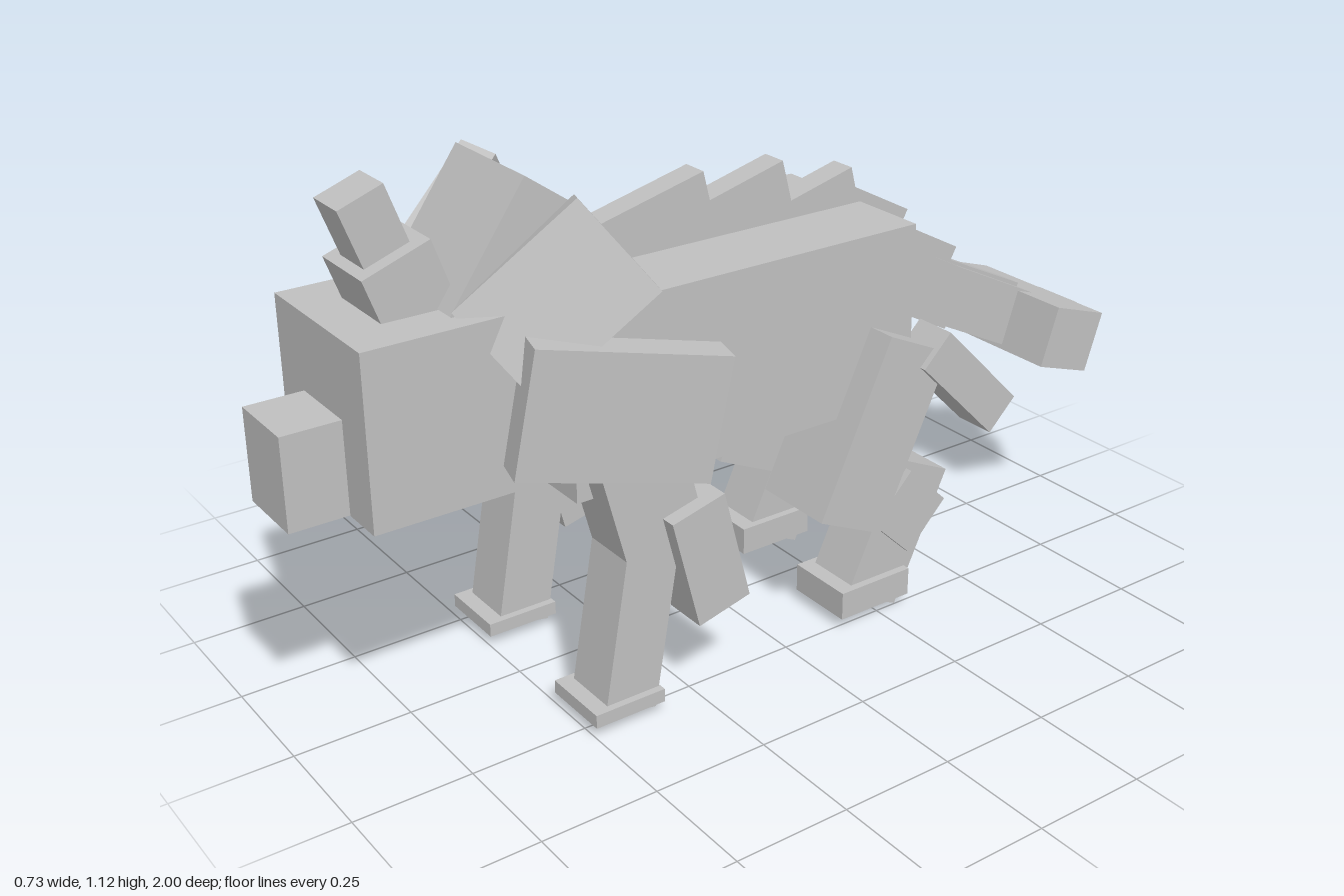
import * as THREE from 'three';

const CX = 0.012; // x of the body's middle plane
const CY = -0.004; // height at which the parts are set
const grey = new THREE.MeshStandardMaterial({ color: 0xbfbfbf });
grey.name = 'plain grey';

// Box running along a centre line from p0 to p1, both given as [z, y].
// shift moves it across the line, so a line can also be the box's top edge.
function bar(name, width, thick, p0, p1, x = 0, shift = 0) {
  const dz = p1[0] - p0[0], dy = p1[1] - p0[1];
  const mesh = new THREE.Mesh(new THREE.BoxGeometry(width, thick, Math.hypot(dz, dy)), grey);
  const t = Math.atan2(-dy, dz);
  mesh.name = name;
  mesh.rotation.x = t;
  mesh.position.set(
    CX + x,
    CY + (p0[1] + p1[1]) / 2 + Math.cos(t) * shift,
    (p0[0] + p1[0]) / 2 + Math.sin(t) * shift
  );
  return mesh;
}

// Box grown from a corner along the edge u, roughly along the edge v, and d deep.
// side = -1 mirrors it in x; offset nudges the result.
function slab(name, corner, u, v, d, side, offset) {
  const make = (a) => new THREE.Vector3(...a);
  const U = make(u), V = make(v);
  const lu = U.length(), lv = V.length();
  U.normalize();
  V.addScaledVector(U, -V.dot(U)).normalize();
  const W = new THREE.Vector3().crossVectors(U, V);
  const mid = make(corner).addScaledVector(U, lu / 2).addScaledVector(V, lv / 2).addScaledVector(W, d / 2);
  for (const p of [U, V, mid]) p.x *= side;
  W.crossVectors(U, V);
  const mesh = new THREE.Mesh(new THREE.BoxGeometry(lu, lv, d), grey);
  mesh.name = name;
  mesh.quaternion.setFromRotationMatrix(new THREE.Matrix4().makeBasis(U, V, W));
  mesh.position.copy(mid).add(make(offset));
  return mesh;
}

export function createModel() {
  const model = new THREE.Group();
  model.name = 'beast';

  // Trunk, head and horn
  model.add(
    bar('body', 0.41, 0.385, [-0.345, 0.672], [0.48, 0.672]),
    bar('pelvis', 0.254, 0.163, [-0.437, 0.675], [-0.3, 0.763]),
    bar('head', 0.346, 0.352, [0.45, 0.702], [0.88, 0.702]),
    bar('snout', 0.156, 0.19, [0.86, 0.622], [1.0, 0.622]),
    bar('hornBase', 0.156, 0.146, [0.703, 0.848], [0.753, 0.989]),
    bar('hornTip', 0.092, 0.097, [0.75, 0.975], [0.797, 1.104]),
    bar('frillTop', 0.25, 0.135, [0.625, 0.841], [0.462, 1.071])
  );

  // Tail with a crossbar near its tip
  model.add(
    bar('tailBase', 0.122, 0.14, [-0.61, 0.59], [-0.4, 0.7]),
    bar('tailEnd', 0.122, 0.135, [-0.835, 0.483], [-0.56, 0.618]),
    bar('tailCrossbar', 0.38, 0.14, [-0.923, 0.454], [-0.779, 0.501]),
    bar('tailTip', 0.122, 0.125, [-0.978, 0.434], [-0.8, 0.498])
  );

  // Ridge plates: top edge, rear end first, then depth
  const ridge = [
    [[0.06, 1.007], [0.42, 0.918], 0.14],
    [[-0.137, 0.992], [0.08, 0.935], 0.13],
    [[-0.319, 0.944], [-0.13, 0.895], 0.1],
    [[-0.48, 0.82], [-0.3, 0.915], 0.08],
    [[-0.63, 0.702], [-0.455, 0.795], 0.08],
    [[-0.832, 0.57], [-0.61, 0.676], 0.08]
  ];
  ridge.forEach(([rear, front, depth], i) =>
    model.add(bar('ridgePlate' + (i + 1), 0.058, depth, rear, front, 0, -depth / 2)));

  for (const side of [1, -1]) {
    const left = side > 0;
    const label = left ? 'left' : 'right';

    // Frill wing and shoulder shield
    model.add(
      slab(label + 'FrillWing', [0.207, 1.071, 0.453], [0.103, -0.169, -0.109],
        [-0.068, -0.186, 0.226], 0.08, side, left ? [0, 0, 0] : [-0.005, 0.005, 0]),
      slab(label + 'ShoulderShield', [0.269, 0.836, 0.587], [0.097, -0.072, -0.365],
        [-0.015, -0.252, 0.053], left ? 0.073 : 0.085, side, left ? [0, 0, 0] : [0.003, -0.035, 0.017])
    );

    // Front leg
    const front = new THREE.Group();
    front.name = label + 'FrontLeg';
    front.add(
      bar('upperLeg', 0.122, 0.183, [0.324, 0.383], [0.413, 0.72], side * 0.206),
      bar('lowerLeg', 0.122, 0.12, [0.41, 0.022], [0.341, 0.42], side * 0.206),
      bar('foot', 0.154, 0.029, [0.34, 0.042], [0.5, 0.042], side * 0.206),
      bar('elbowPlate', 0.1, 0.126, [0.205, 0.198], [0.267, 0.442], side * 0.25)
    );

    // Hind leg
    const hind = new THREE.Group();
    hind.name = label + 'HindLeg';
    hind.add(
      bar('thigh', 0.19, 0.178, [-0.143, 0.255], [-0.315, 0.627], side * 0.175),
      bar('shin', 0.122, 0.15, [-0.234, 0.035], [-0.368, 0.324], side * 0.175),
      bar('ankle', 0.154, 0.14, [-0.372, 0.182], [-0.272, 0.278], side * 0.175),
      bar('foot', 0.156, 0.063, [-0.325, 0.059], [-0.14, 0.059], side * 0.175),
      bar('spur', 0.095, 0.095, [-0.547, 0.411], [-0.349, 0.609], side * 0.237)
    );
    model.add(front, hind);
  }

  return model;
}
